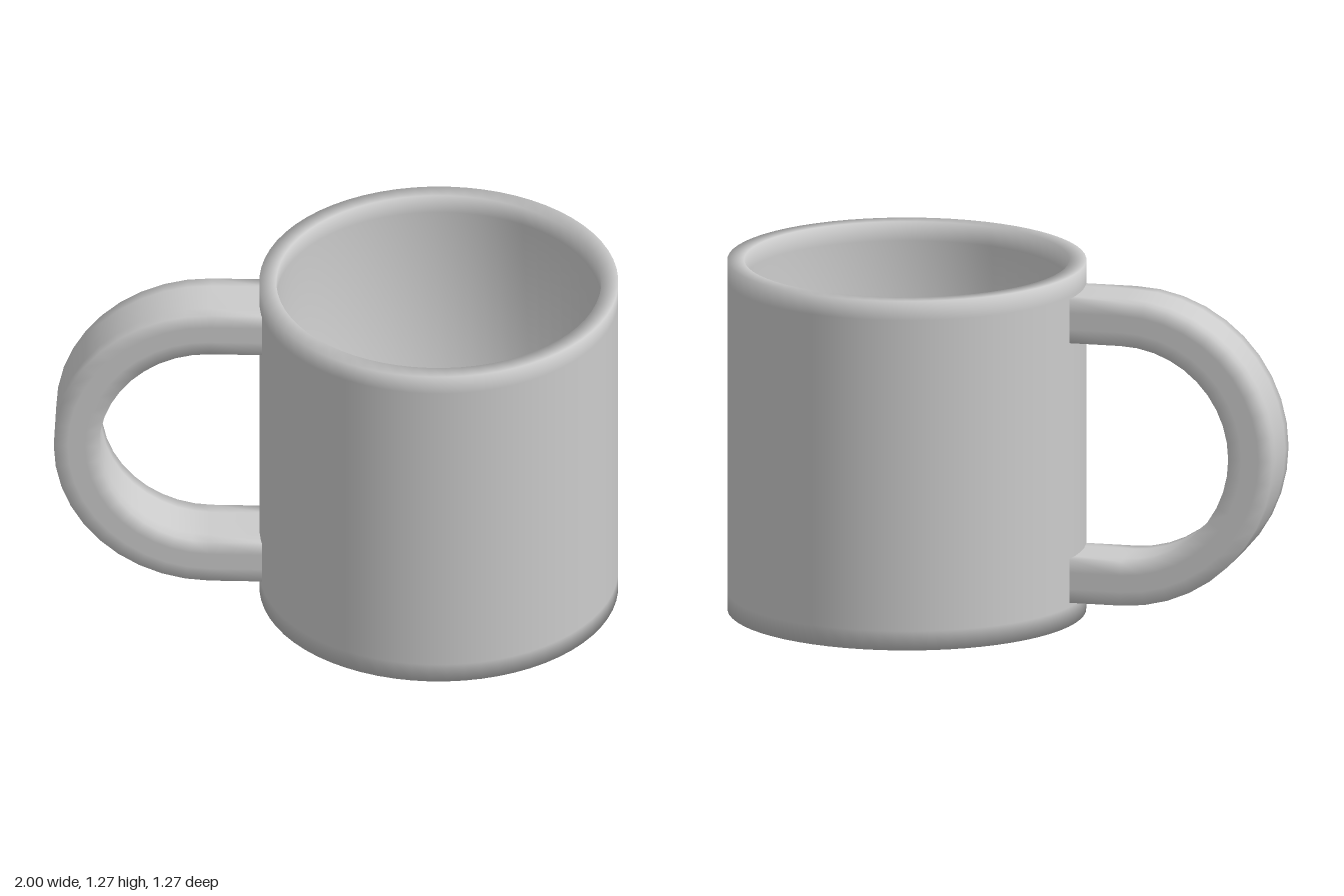
import * as THREE from 'three';

const material = new THREE.MeshStandardMaterial({ color: 0xcccccc });
const RADIUS = 0.635, HEIGHT = 1.27, WALL = 0.06, LOOP = 0.07;

// Straight-walled cup with a hollow inside; extra rings keep the soft shading near the edges.
function createCup() {
  const inner = RADIUS - WALL;
  const profile = [
    [0, 0], [RADIUS, 0], [RADIUS, LOOP], [RADIUS, HEIGHT - LOOP], [RADIUS, HEIGHT],
    [inner, HEIGHT], [inner, HEIGHT - LOOP], [inner, WALL], [0, WALL],
  ].map(([x, y]) => new THREE.Vector2(x, y));
  const cup = new THREE.Mesh(new THREE.LatheGeometry(profile, 64), material);
  cup.name = 'cup';
  return cup;
}

// Rectangular bar swept along two short straights joined by a half circle.
function createHandle() {
  const cx = -0.806, cy = 0.637, r = 0.472, rootX = -0.605;
  const hn = 0.08, hz = 0.125, inset = 0.05, steps = 20;

  // Path stations: position and outward direction
  const stations = [{ x: rootX, y: cy + r, nx: 0, ny: 1 }];
  for (let i = 0; i <= steps; i++) {
    const a = Math.PI / 2 + (i / steps) * Math.PI;
    const nx = Math.cos(a), ny = Math.sin(a);
    stations.push({ x: cx + r * nx, y: cy + r * ny, nx, ny });
  }
  stations.push({ x: rootX, y: cy - r, nx: 0, ny: -1 });

  // Cross-section as [outward, sideways], with points set in from each corner
  const section = [
    [hn, -hz], [hn, -hz + inset], [hn, hz - inset], [hn, hz],
    [hn - inset, hz], [-hn + inset, hz],
    [-hn, hz], [-hn, hz - inset], [-hn, -hz + inset], [-hn, -hz],
    [-hn + inset, -hz], [hn - inset, -hz],
  ];

  const positions = [], index = [], n = section.length;
  stations.forEach((s, i) => {
    section.forEach(([u, z], j) => {
      positions.push(s.x + s.nx * u, s.y + s.ny * u, z);
      if (i === stations.length - 1) return;
      const a = i * n + j, d = i * n + (j + 1) % n;
      index.push(a, a + n, d, d, a + n, d + n);
    });
  });
  const geometry = new THREE.BufferGeometry();
  geometry.setAttribute('position', new THREE.Float32BufferAttribute(positions, 3));
  geometry.setIndex(index);
  geometry.computeVertexNormals();

  const handle = new THREE.Mesh(geometry, material);
  handle.name = 'handle';
  handle.rotation.y = -0.077; // turned slightly toward the back
  return handle;
}

export function createModel() {
  const mug = new THREE.Group();
  mug.name = 'mug';
  mug.add(createCup(), createHandle());
  mug.position.x = 0.365;

  const model = new THREE.Group();
  model.add(mug);
  return model;
}
